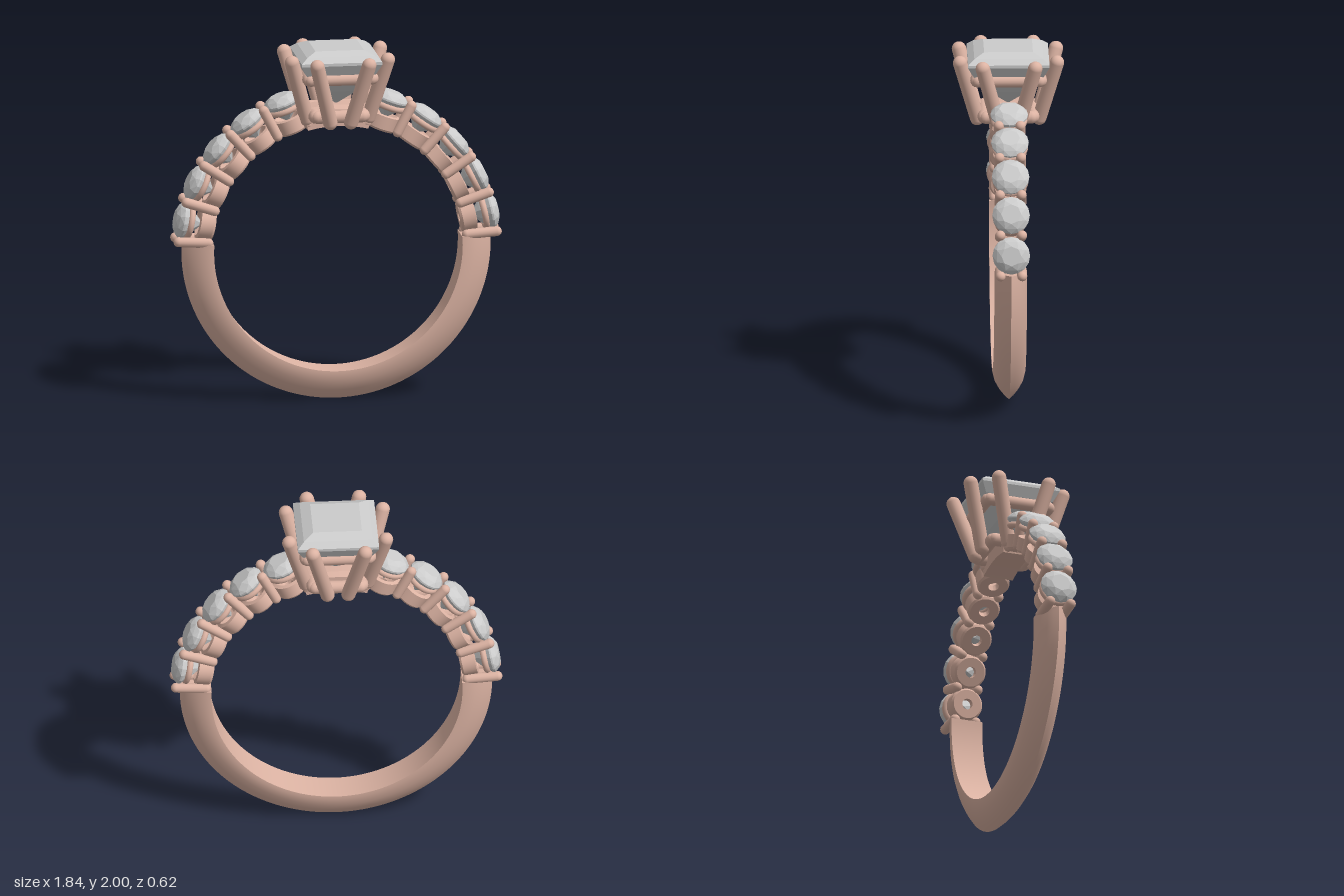
import * as THREE from 'three';
import { toCreasedNormals } from 'three/addons/utils/BufferGeometryUtils.js';
import { ConvexGeometry } from 'three/addons/geometries/ConvexGeometry.js';

const CY = 0.865; // height of the ring's centre
const rad = THREE.MathUtils.degToRad;
const V = (x, y, z) => new THREE.Vector3(x, y, z);

export function createModel() {
  const model = new THREE.Group();
  const metal = new THREE.MeshStandardMaterial({ color: 0xdcb3a3 });
  const metalThin = new THREE.MeshStandardMaterial({ color: 0xdcb3a3, side: THREE.DoubleSide });
  const gem = new THREE.MeshStandardMaterial({ color: 0xcccccc, flatShading: true });

  function add(name, geometry, material = metal, parent = model) {
    const mesh = new THREE.Mesh(geometry, material);
    mesh.name = name;
    parent.add(mesh);
    return mesh;
  }

  // Round-ended rod between two points
  function rod(name, a, b, radius, parent = model) {
    const mesh = add(name, new THREE.CapsuleGeometry(radius, a.distanceTo(b), 6, 16), metal, parent);
    mesh.position.copy(a).lerp(b, 0.5);
    mesh.quaternion.setFromUnitVectors(V(0, 1, 0), b.clone().sub(a).normalize());
    return mesh;
  }

  // Arc of the ring: [radius, z] section swept around the finger, angle 0 at the bottom
  function ringArc(name, section, start, sweep) {
    const pts = section.map(([r, z]) => new THREE.Vector2(r, z));
    const geo = new THREE.LatheGeometry([...pts, pts[0]], 96, rad(start), rad(sweep));
    geo.rotateX(Math.PI / 2);
    add(name, toCreasedNormals(geo, 0.6)).position.y = CY;
    for (const angle of [start, start + sweep]) {
      const cap = new THREE.ShapeGeometry(new THREE.Shape(pts));
      cap.rotateX(Math.PI / 2).rotateZ(rad(angle - 90));
      add(name + 'End', cap, metalThin).position.y = CY;
    }
  }

  // Lower shank: flat inside, pointed arch outside
  const half = [[0.695, 0.09], [0.715, 0.09], [0.765, 0.077], [0.81, 0.051], [0.842, 0.025]];
  const shank = [
    ...half.map(([r, z]) => [r, -z]), [0.865, 0], ...half.slice().reverse(),
  ];
  ringArc('shank', shank, -93.5, 187);

  // Bridge of the band under the centre setting
  ringArc('bridge', [[0.695, -0.085], [0.79, -0.085], [0.812, -0.06], [0.812, 0.06], [0.79, 0.085], [0.695, 0.085]], 166, 28);

  // Round brilliant, built along +y with its girdle at radius 0.875 from the centre
  const ring = (n, r, y, turn = 0) => Array.from({ length: n }, (_, i) => {
    const a = ((i + turn) / n) * Math.PI * 2;
    return V(r * Math.cos(a), y, r * Math.sin(a));
  });
  const roundStone = new ConvexGeometry([
    ...ring(8, 0.055, 0.92), ...ring(8, 0.086, 0.904, 0.5),
    ...ring(16, 0.104, 0.882), ...ring(16, 0.104, 0.872),
    ...ring(8, 0.06, 0.816, 0.5), V(0, 0.76, 0),
  ]);

  // Cup with a drilled hole, and the thin seat ring above it
  const cup = toCreasedNormals(new THREE.LatheGeometry(
    [[0.03, 0.7], [0.08, 0.7], [0.09, 0.712], [0.092, 0.785], [0.07, 0.79], [0.03, 0.74], [0.03, 0.7]]
      .map(([r, y]) => new THREE.Vector2(r, y)), 32), 0.6);
  const seat = new THREE.TorusGeometry(0.083, 0.018, 10, 36).rotateX(Math.PI / 2).translate(0, 0.838, 0);

  // Five stones down each shoulder, with claw pairs between them
  const step = 14.6, first = 4;
  for (const side of [1, -1]) {
    const shoulder = new THREE.Group();
    shoulder.name = side > 0 ? 'leftShoulder' : 'rightShoulder';
    shoulder.position.y = CY;
    model.add(shoulder);
    for (let i = 0; i < 6; i++) {
      const turned = (degrees) => {
        const g = new THREE.Group();
        g.rotation.z = side * rad(degrees - 90);
        shoulder.add(g);
        return g;
      };
      const claws = turned(first + i * step);
      claws.name = 'clawPair';
      for (const z of [-0.06, 0.06])
        rod('claw', V(0, 0.725, z), V(0, i < 5 ? 0.892 : 0.86, z), 0.028, claws);
      if (i === 5) continue;
      const setting = turned(first + (i + 0.5) * step);
      setting.name = 'stoneSetting';
      add('stoneCup', cup, metal, setting);
      add('stoneSeat', seat, metal, setting);
      add('sideStone', roundStone, gem, setting);
    }
  }

  // Square centre stone
  const square = (h, y) => [[1, 1], [1, -1], [-1, -1], [-1, 1]].map(([x, z]) => V(x * h, y, z * h));
  add('centreStone', new ConvexGeometry([
    ...square(0.135, 2), ...square(0.19, 1.976), ...square(0.225, 1.948), ...square(0.225, 1.932),
    ...square(0.195, 1.875), ...square(0.1, 1.76), V(0, 1.67, 0),
  ]), gem);

  // Head: two square frames and four pairs of leaning prongs
  const head = new THREE.Group();
  head.name = 'head';
  model.add(head);
  for (let i = 0; i < 4; i++) {
    const wall = new THREE.Group();
    wall.name = 'headSide';
    wall.rotation.y = i * Math.PI / 2;
    head.add(wall);
    rod('galleryRail', V(-0.17, 1.845, 0.178), V(0.17, 1.845, 0.178), 0.034, wall);
    rod('baseRail', V(-0.125, 1.625, 0.135), V(0.125, 1.625, 0.135), 0.036, wall);
    for (const s of [-1, 1])
      rod('prong', V(s * 0.058, 1.6, 0.172), V(s * 0.145, 1.942, 0.268), 0.04, wall);
  }
  return model;
}
